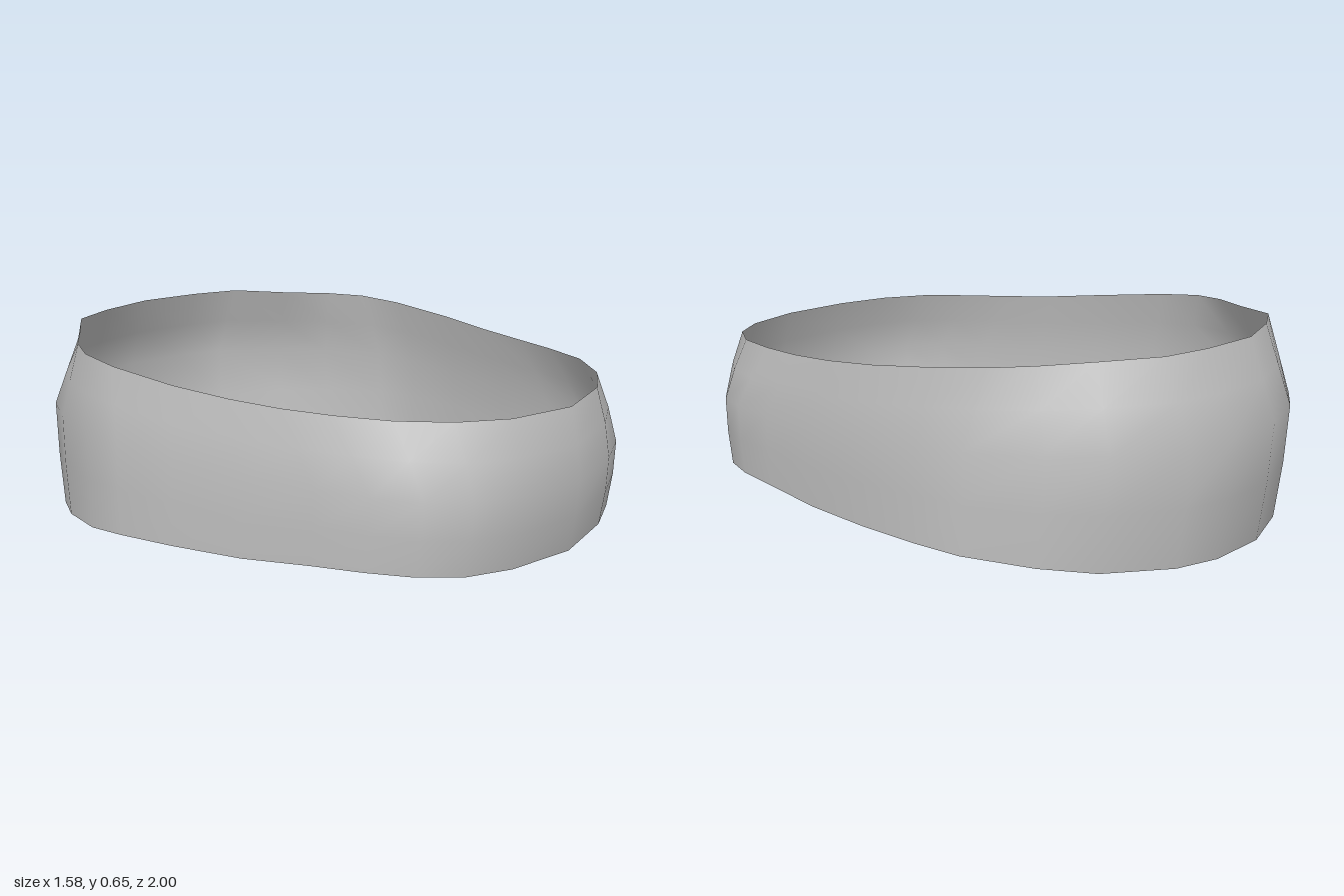
import * as THREE from 'three';

// Half outline from front centre to back centre:
// [top x, top y, top z, belly x, belly z, bottom y]
const STATIONS = [
  [0.00, 0.543, 0.96, 0.00, 1.00, 0.086],
  [0.25, 0.548, 0.91, 0.26, 0.96, 0.093],
  [0.41, 0.555, 0.82, 0.42, 0.90, 0.102],
  [0.53, 0.561, 0.69, 0.53, 0.80, 0.110],
  [0.60, 0.564, 0.53, 0.605, 0.67, 0.115],
  [0.65, 0.568, 0.37, 0.655, 0.50, 0.110],
  [0.69, 0.577, 0.20, 0.71, 0.27, 0.094],
  [0.73, 0.595, 0.00, 0.765, 0.02, 0.092],
  [0.745, 0.620, -0.25, 0.787, -0.20, 0.085],
  [0.72, 0.634, -0.41, 0.775, -0.36, 0.072],
  [0.65, 0.640, -0.53, 0.69, -0.58, 0.049],
  [0.53, 0.645, -0.66, 0.59, -0.74, 0.032],
  [0.40, 0.654, -0.81, 0.39, -0.90, 0.014],
  [0.23, 0.655, -0.87, 0.23, -0.965, 0.005],
  [0.00, 0.655, -0.91, 0.00, -1.00, 0.001],
];

// Column of points from the bottom edge to the top edge at one station
function column([tx, ty, tz, mx, mz, by], side) {
  const front = (mz + 1) / 2; // 1 at the front, 0 at the back
  const my = by + (ty - by) * (0.6 - 0.1 * front);
  const bottom = new THREE.Vector3(mx * 1.004, by, mz * (0.96 + 0.015 * front));
  const belly = new THREE.Vector3(mx, my, mz);
  const top = new THREE.Vector3(tx, ty, tz);
  const swell = (a, b, k) => {
    const p = a.clone().lerp(b, 0.5);
    p.x *= 1 + k * 0.5;
    p.z *= 1 + k;
    return p;
  };
  const points = [bottom, swell(bottom, belly, 0.006), belly, swell(belly, top, 0.008 * front), top];
  points.forEach((p) => { p.x *= side; });
  return points;
}

export function createModel() {
  const group = new THREE.Group();
  group.name = 'headband';

  // Full closed loop: one half, then its mirror image
  const columns = [
    ...STATIONS.map((s) => column(s, 1)),
    ...STATIONS.slice(1, -1).reverse().map((s) => column(s, -1)),
  ];
  const rows = columns[0].length;
  const positions = columns.flat().flatMap((p) => p.toArray());
  const index = [];
  for (let i = 0; i < columns.length; i++) {
    const next = (i + 1) % columns.length;
    for (let j = 0; j < rows - 1; j++) {
      const a = i * rows + j;
      const b = next * rows + j;
      index.push(a, b, b + 1, a, b + 1, a + 1);
    }
  }
  const geometry = new THREE.BufferGeometry();
  geometry.setAttribute('position', new THREE.Float32BufferAttribute(positions, 3));
  geometry.setIndex(index);
  geometry.computeVertexNormals();

  // Thin open cloth band
  const material = new THREE.MeshStandardMaterial({ color: 0xc0c0c0, side: THREE.DoubleSide });
  material.name = 'light grey cloth';
  const band = new THREE.Mesh(geometry, material);
  band.name = 'band';
  group.add(band);
  return group;
}
